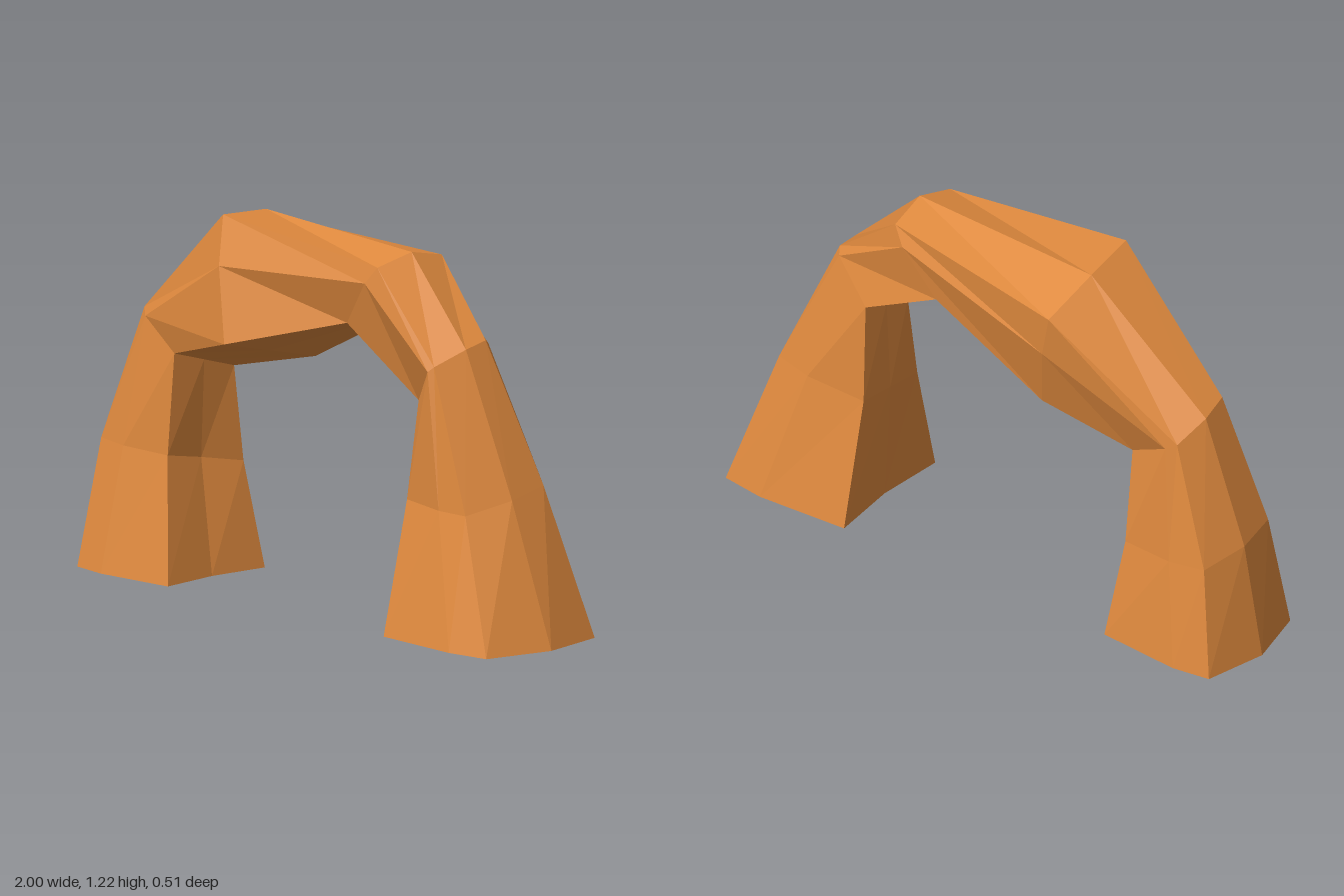
import * as THREE from 'three';

// Each section of the arch: four corners, the outer ridge point, and how far
// toward the outer corner the side ridges sit.
const section = (outFront, inFront, inBack, outBack, ridge, share, notch = 0) => {
  const v = (p) => new THREE.Vector3(...p);
  const [of, inf, inb, ob] = [outFront, inFront, inBack, outBack].map(v);
  const front = inf.clone().lerp(of, share);
  const back = inb.clone().lerp(ob, share);
  front.z += 0.02;
  back.z -= 0.02;
  const inner = inf.clone().lerp(inb, 0.5);
  inner.x += notch;
  return [v(ridge), of, front, inf, inner, inb, back, ob];
};

// Skin the sections with quads and close both feet
function skin(rings) {
  const pos = [];
  const tri = (...pts) => pts.forEach((p) => pos.push(p.x, p.y, p.z));
  const n = rings[0].length;
  for (let i = 0; i < rings.length - 1; i++) {
    for (let j = 0; j < n; j++) {
      const k = (j + 1) % n;
      const a = rings[i][j], b = rings[i][k], c = rings[i + 1][j], d = rings[i + 1][k];
      tri(a, c, b);
      tri(b, c, d);
    }
  }
  const cap = (ring) => {
    const mid = new THREE.Vector3();
    ring.forEach((p) => mid.addScaledVector(p, 1 / n));
    ring.forEach((p, j) => tri(mid, p, ring[(j + 1) % n]));
  };
  cap(rings[0]);
  cap([...rings[rings.length - 1]].reverse());
  const geo = new THREE.BufferGeometry();
  geo.setAttribute('position', new THREE.Float32BufferAttribute(pos, 3));
  geo.computeVertexNormals();
  return geo;
}

export function createModel() {
  const rings = [
    // left foot
    section([0.95, 0, 0.235], [0.48, 0, 0.235], [0.48, 0, -0.235], [0.95, 0, -0.235], [1, 0, 0], 0.68, 0.02),
    // left shin
    section([0.77, 0.42, 0.155], [0.455, 0.42, 0.11], [0.46, 0.45, -0.16], [0.8, 0.48, -0.155], [0.82, 0.455, 0], 0.62),
    // left shoulder
    section([0.6, 0.87, 0.13], [0.45, 0.73, 0.055], [0.46, 0.8, -0.15], [0.62, 0.93, -0.075], [0.63, 0.915, 0.02], 0.88),
    // left end of the bridge
    section([0.34, 1.15, 0.13], [0.18, 0.945, 0.11], [0.18, 0.945, -0.15], [0.35, 1.155, -0.14], [0.36, 1.185, 0], 0.73),
    // heavy peak of the bridge
    section([-0.34, 1.22, 0.155], [-0.24, 0.83, 0.245], [-0.24, 0.735, -0.15], [-0.34, 1.13, -0.245], [-0.36, 1.205, -0.05], 0.61),
    // right shoulder
    section([-0.78, 0.845, 0.08], [-0.59, 0.73, 0.13], [-0.57, 0.66, -0.11], [-0.77, 0.775, -0.14], [-0.8, 0.83, -0.03], 0.82),
    // right shin
    section([-0.92, 0.41, 0.135], [-0.61, 0.4, 0.14], [-0.58, 0.345, -0.16], [-0.9, 0.37, -0.17], [-0.945, 0.4, -0.02], 0.6, -0.02),
    // right foot
    section([-0.95, 0, 0.21], [-0.535, 0, 0.21], [-0.535, 0, -0.21], [-0.95, 0, -0.21], [-1, 0, 0], 0.69, -0.02),
  ];
  const rock = new THREE.MeshStandardMaterial({ color: 0xe08a3e, flatShading: true });
  const arch = new THREE.Mesh(skin(rings), rock);
  arch.name = 'rockArch';
  const group = new THREE.Group();
  group.name = 'naturalArch';
  group.add(arch);
  return group;
}
